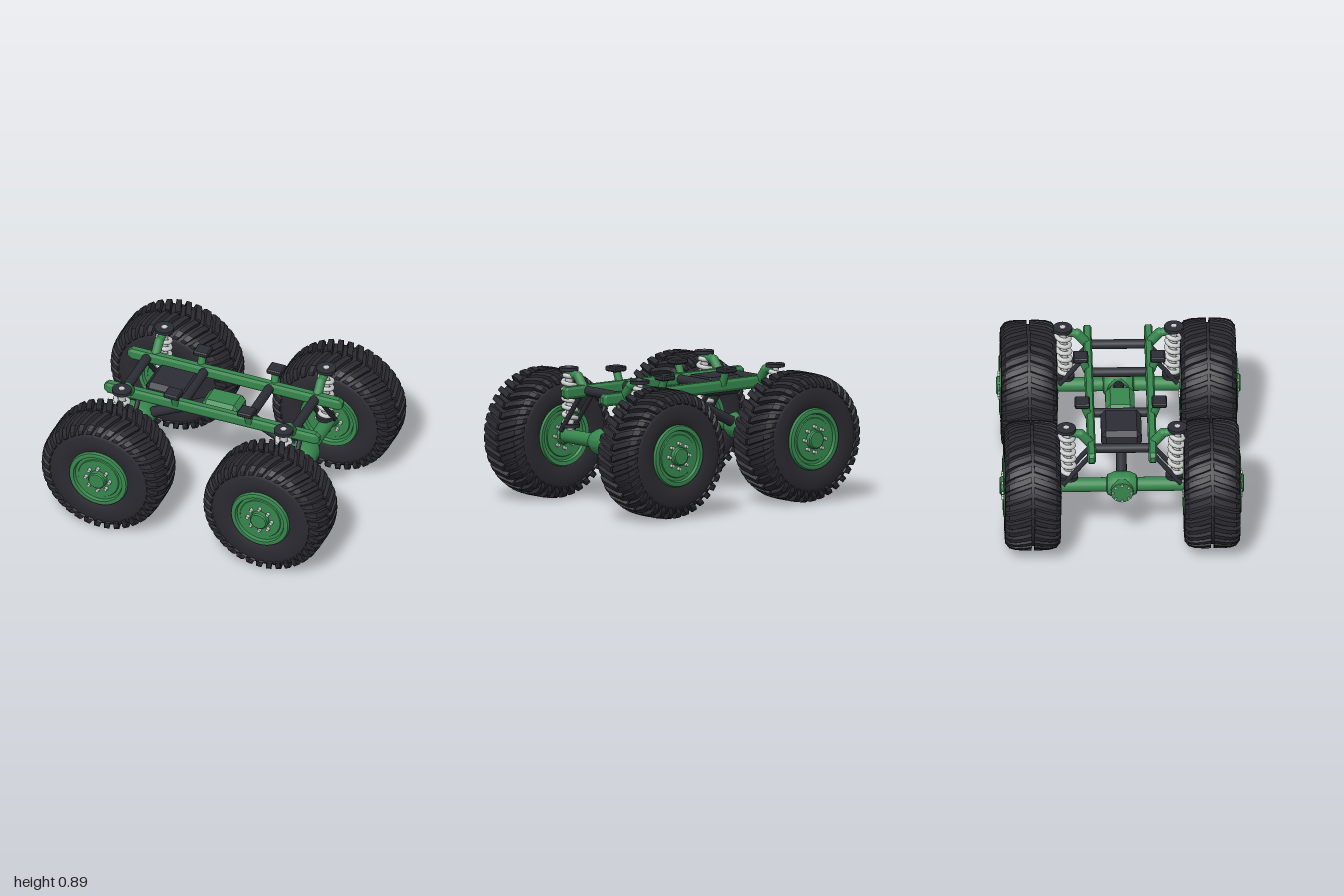
import * as THREE from 'three';
import { toCreasedNormals } from 'three/addons/utils/BufferGeometryUtils.js';
import { ConvexGeometry } from 'three/addons/geometries/ConvexGeometry.js';

const material = (name, color) => {
  const m = new THREE.MeshStandardMaterial({ color });
  m.name = name;
  return m;
};

export function createModel() {
  const green = material('green paint', 0x37874e);
  const dark = material('dark metal', 0x2d2e36);
  const rubber = material('tyre rubber', 0x2a2a31);
  const steel = material('bright steel', 0xcccece);

  const model = new THREE.Group();
  model.name = 'rollingChassis';
  const V = (x, y, z) => new THREE.Vector3(x, y, z);

  const add = (parent, name, geo, mat, x = 0, y = 0, z = 0) => {
    const mesh = new THREE.Mesh(geo, mat);
    mesh.name = name;
    mesh.position.set(x, y, z);
    parent.add(mesh);
    return mesh;
  };
  // Round bar between two points
  const bar = (parent, name, a, b, r, mat, sides = 14) => {
    const dir = b.clone().sub(a);
    const mesh = add(parent, name, new THREE.CylinderGeometry(r, r, dir.length(), sides), mat);
    mesh.position.copy(a).add(b).multiplyScalar(0.5);
    mesh.quaternion.setFromUnitVectors(V(0, 1, 0), dir.normalize());
    return mesh;
  };
  // Box with all edges chamfered by c
  const chamferBox = (w, h, d, c) => {
    const pts = [];
    for (const i of [-1, 1]) for (const j of [-1, 1]) for (const k of [-1, 1]) {
      const x = w / 2, y = h / 2, z = d / 2;
      pts.push(V(i * x, j * (y - c), k * (z - c)), V(i * (x - c), j * y, k * (z - c)), V(i * (x - c), j * (y - c), k * z));
    }
    return new ConvexGeometry(pts);
  };
  // Profile of [radius, z] pairs spun around the z axis
  const spinZ = (profile, sides) => {
    const g = new THREE.LatheGeometry(profile.map(([r, z]) => new THREE.Vector2(r, z)), sides);
    return toCreasedNormals(g.rotateX(Math.PI / 2), 0.6);
  };

  // ---- Wheel geometry ----
  const tyreGeo = spinZ([[0.195, -0.165], [0.225, -0.178], [0.27, -0.184], [0.32, -0.181], [0.36, -0.168],
    [0.386, -0.14], [0.396, -0.08], [0.398, 0], [0.396, 0.08], [0.386, 0.14], [0.36, 0.168], [0.32, 0.181],
    [0.27, 0.184], [0.225, 0.178], [0.195, 0.165]], 72);

  // Chevron lugs sweep from the centre groove over the shoulders
  const treadGeo = () => {
    const count = 36, width = 0.115, pos = [], idx = [];
    const top = [[0.009, 0.426], [0.06, 0.426], [0.115, 0.423], [0.155, 0.41], [0.18, 0.378], [0.183, 0.348]];
    const base = [[0.009, 0.385], [0.06, 0.385], [0.11, 0.38], [0.135, 0.37], [0.155, 0.35], [0.165, 0.335]];
    for (const s of [-1, 1]) for (let i = 0; i < count; i++) {
      const start = pos.length / 3;
      top.forEach(([z, r], k) => {
        const [bz, br] = base[k];
        const a = i / count * Math.PI * 2 + 0.2 * Math.pow(k / 5, 0.9);
        const w = width / 2;
        for (const [da, rr, zz] of [[-w, br, bz], [-w * 0.8, r, z], [w * 0.8, r, z], [w, br, bz]])
          pos.push(rr * Math.cos(a + da), rr * Math.sin(a + da), s * zz);
      });
      const quad = (a, b, c, d) => s < 0 ? idx.push(a, b, c, a, c, d) : idx.push(a, c, b, a, d, c);
      for (let k = 0; k < top.length - 1; k++) for (let e = 0; e < 3; e++) {
        const p = start + k * 4 + e;
        quad(p, p + 4, p + 5, p + 1);
      }
      const end = start + (top.length - 1) * 4;
      quad(start, start + 1, start + 2, start + 3);
      quad(end + 3, end + 2, end + 1, end);
    }
    const g = new THREE.BufferGeometry();
    g.setAttribute('position', new THREE.Float32BufferAttribute(pos, 3));
    g.setIndex(idx);
    return toCreasedNormals(g, 0.5);
  };
  const lugs = treadGeo();

  const rimGeo = spinZ([[0, -0.19], [0.055, -0.19], [0.062, -0.172], [0.14, -0.172], [0.144, -0.166], [0.165, -0.166],
    [0.174, -0.184], [0.2, -0.188], [0.206, -0.17], [0.206, 0.17], [0.2, 0.188], [0.19, 0.192], [0.172, 0.19],
    [0.165, 0.17], [0.144, 0.17], [0.14, 0.176], [0.062, 0.176], [0.06, 0.205], [0.052, 0.212], [0, 0.212]], 48);
  const nutGeo = new THREE.CylinderGeometry(0.012, 0.012, 0.395, 6).rotateX(Math.PI / 2);

  const AX = 0.573, AY = 0.427, WZ = 0.587;
  for (const sx of [-1, 1]) for (const sz of [-1, 1]) {
    const wheel = new THREE.Group();
    wheel.name = `${sz > 0 ? 'front' : 'back'}${sx > 0 ? 'Left' : 'Right'}Wheel`;
    wheel.position.set(sx * AX, AY, sz * WZ);
    model.add(wheel);
    add(wheel, 'tyre', tyreGeo, rubber);
    add(wheel, 'treadLugs', lugs, rubber);
    const hub = new THREE.Group();
    hub.name = 'rimAssembly';
    if (sz < 0) hub.rotation.y = Math.PI;
    wheel.add(hub);
    add(hub, 'rim', rimGeo, green);
    // Studs run through the disc and show on both faces
    for (let i = 0; i < 8; i++) {
      const a = i * Math.PI / 4;
      add(hub, 'wheelStud', nutGeo, steel, 0.084 * Math.cos(a), 0.084 * Math.sin(a), 0.004);
    }
  }

  // ---- Axles with differential housings and bolted covers ----
  const diffGeo = spinZ([[0.046, -0.102], [0.066, -0.094], [0.087, -0.05], [0.087, 0.05], [0.066, 0.094], [0.046, 0.102]], 14);
  for (const sx of [-1, 1]) {
    const axle = new THREE.Group();
    axle.name = sx > 0 ? 'leftAxle' : 'rightAxle';
    axle.position.set(sx * AX, AY, 0);
    model.add(axle);
    bar(axle, 'axleTube', V(0, 0, -0.45), V(0, 0, 0.45), 0.047, green, 20);
    add(axle, 'differential', diffGeo, green);
    bar(axle, 'differentialCover', V(-0.1, 0, 0), V(-0.03, 0, 0), 0.074, green, 20);
    for (let i = 0; i < 8; i++) {
      const a = i * Math.PI / 4, y = 0.06 * Math.sin(a), z = 0.06 * Math.cos(a);
      bar(axle, 'coverBolt', V(-0.111, y, z), V(-0.09, y, z), 0.009, steel, 6);
    }
    // Drive shaft up to the gearbox
    bar(model, 'driveShaft', V(sx * 0.08, 0.675, 0), V(sx * 0.52, 0.455, 0), 0.035, dark);
  }

  // ---- Ladder frame ----
  for (const sz of [-1, 1]) {
    const rail = [];
    for (const sx of [-1, 1]) for (const [x, h, w] of [[0.735, 0.04, 0.018], [0.735, 0.022, 0.028], [0.76, 0.018, 0.014]])
      for (const i of [-1, 1]) for (const j of [-1, 1]) rail.push(V(sx * x, i * h, j * w));
    add(model, 'frameRail', new ConvexGeometry(rail), green, 0, 0.746, sz * 0.2);
    // Body mounts
    for (const x of [-0.253, 0.267]) {
      bar(model, 'mountPost', V(x, 0.75, sz * 0.21), V(x, 0.845, sz * 0.245), 0.026, green);
      add(model, 'mountPad', chamferBox(0.106, 0.036, 0.1, 0.008), dark, x, 0.858, sz * 0.252);
    }
  }
  for (const x of [-0.62, -0.215, 0.248, 0.568])
    bar(model, 'crossBar', V(x, 0.748, -0.2), V(x, 0.748, 0.2), 0.032, dark);

  // ---- Motor and gearbox ----
  add(model, 'motorBox', chamferBox(0.3, 0.125, 0.265, 0.032), dark, -0.36, 0.725, 0);
  add(model, 'gearbox', chamferBox(0.256, 0.13, 0.19, 0.032), green, 0, 0.665, 0);

  // ---- Suspension at each corner ----
  class Coil extends THREE.Curve {
    getPoint(t, target = new THREE.Vector3()) {
      const a = t * Math.PI * 2 * 6;
      return target.set(0.042 * Math.cos(a), (t - 0.5) * 0.32, 0.042 * Math.sin(a));
    }
  }
  const coilGeo = new THREE.TubeGeometry(new Coil(), 120, 0.016, 8);
  for (const sx of [-1, 1]) for (const sz of [-1, 1]) {
    const corner = new THREE.Group();
    corner.name = 'suspensionCorner';
    model.add(corner);
    const x = sx * AX;
    const low = V(x, 0.47, sz * 0.348), high = V(x, 0.865, sz * 0.364);
    // Shock tower
    bar(corner, 'towerArm', V(x, 0.75, sz * 0.2), V(x, 0.835, sz * 0.27), 0.032, green);
    bar(corner, 'towerTop', V(x, 0.83, sz * 0.262), V(x, 0.855, sz * 0.37), 0.028, green);
    add(corner, 'towerElbow', new THREE.SphereGeometry(0.032, 14, 10), green, x, 0.833, sz * 0.268);
    // Damper and spring
    bar(corner, 'damper', low, high, 0.024, steel);
    const coil = add(corner, 'coilSpring', coilGeo, steel, x, 0.675, sz * 0.356);
    coil.rotation.x = sz * 0.04;
    add(corner, 'topCap', new THREE.CylinderGeometry(0.064, 0.064, 0.022, 24), dark, x, 0.872, sz * 0.364);
    add(corner, 'capBolt', new THREE.CylinderGeometry(0.02, 0.02, 0.014, 8), steel, x, 0.88, sz * 0.364);
    add(corner, 'lowerSeat', new THREE.CylinderGeometry(0.062, 0.062, 0.024, 24), dark, x, 0.5, sz * 0.348);
    // Twin struts from frame to axle
    for (const dx of [-0.05, 0.05])
      bar(corner, 'strut', V(x + dx, 0.715, sz * 0.19), V(x + dx, 0.465, sz * 0.385), 0.016, dark, 10);
  }
  return model;
}
